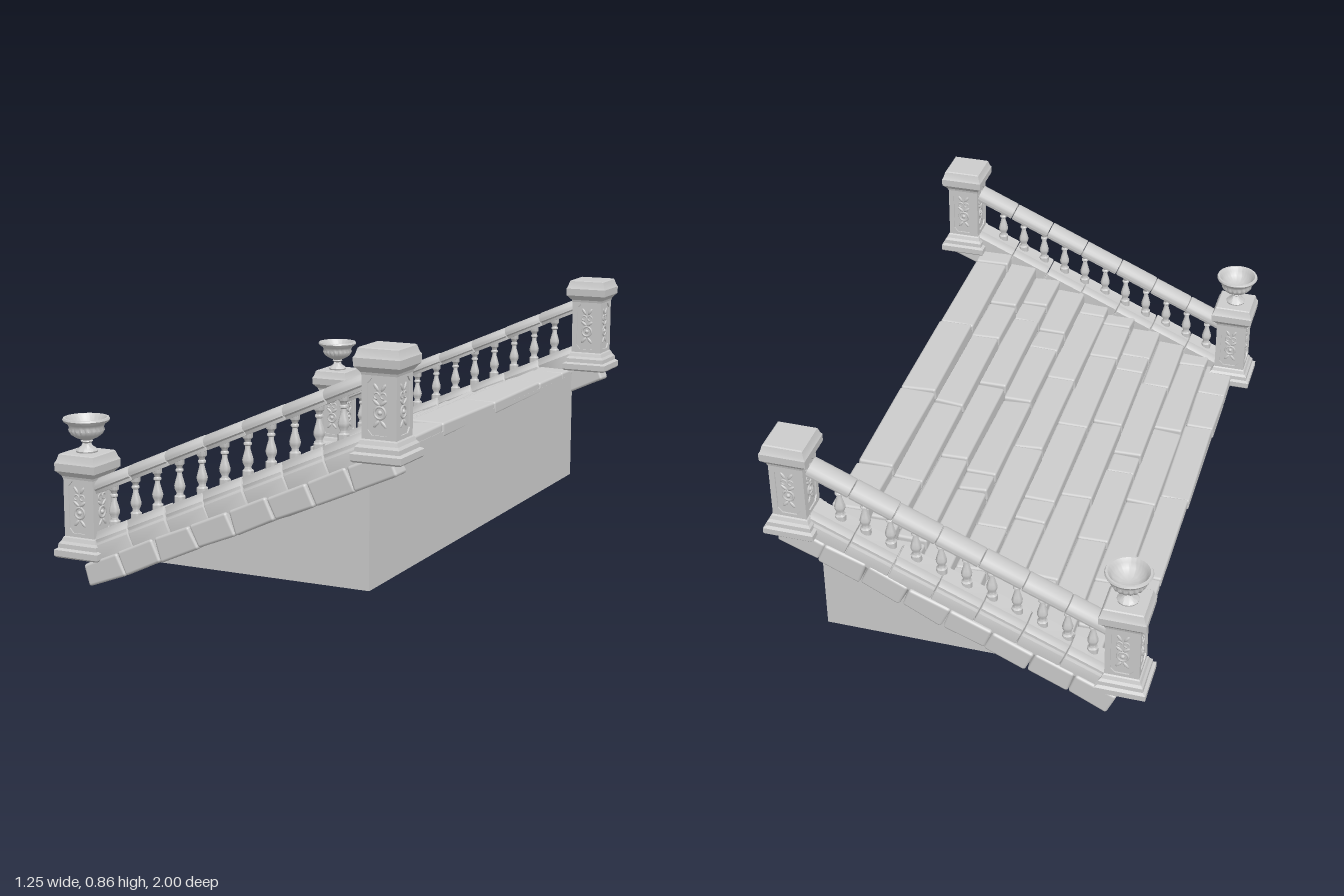
import * as THREE from 'three';
import { toCreasedNormals } from 'three/addons/utils/BufferGeometryUtils.js';
import { RoundedBoxGeometry } from 'three/addons/geometries/RoundedBoxGeometry.js';

const material = new THREE.MeshStandardMaterial({ color: 0xcccccc, roughness: 0.9 });
const SLOPE = Math.atan(0.435);
const SIDE_Z = 0.912;

// Seeded wear and tear
let seed = 7;
function jitter(amount) {
  seed = (seed * 16807) % 2147483647;
  return (seed / 2147483647 * 2 - 1) * amount;
}

function add(parent, name, geometry, x = 0, y = 0, z = 0) {
  const mesh = new THREE.Mesh(geometry, material);
  mesh.name = name;
  mesh.position.set(x, y, z);
  parent.add(mesh);
  return mesh;
}

const points = (list) => list.map(([x, y]) => new THREE.Vector2(x, y));

// Square turned profile: [half width, height]
function squareLathe(profile) {
  const g = new THREE.LatheGeometry(points(profile.map(([w, y]) => [w * Math.SQRT2, y])), 4);
  g.rotateY(Math.PI / 4);
  return toCreasedNormals(g, 0.3);
}

// Block with worn edges and slightly shifted corners
function wornBlock(w, h, d, wear) {
  const g = new RoundedBoxGeometry(w, h, d, 2, Math.min(0.009, h * 0.25));
  const p = g.attributes.position;
  const shift = Array.from({ length: 8 }, () => [jitter(wear), jitter(wear), jitter(wear)]);
  for (let i = 0; i < p.count; i++) {
    const k = (p.getX(i) > 0 ? 1 : 0) + (p.getY(i) > 0 ? 2 : 0) + (p.getZ(i) > 0 ? 4 : 0);
    p.setXYZ(i, p.getX(i) + shift[k][0], p.getY(i) + shift[k][1], p.getZ(i) + shift[k][2]);
  }
  return g;
}

// Stone with a constant section, running along x and centred on it
function runStone(section, length) {
  const b = 0.004;
  const g = new THREE.ExtrudeGeometry(new THREE.Shape(points(section)), {
    depth: length - 2 * b, bevelEnabled: true, bevelThickness: b, bevelSize: b, bevelOffset: -b, bevelSegments: 2,
  });
  g.translate(0, 0, b - length / 2);
  g.rotateY(Math.PI / 2);
  return toCreasedNormals(g, 0.7);
}

function createStairs() {
  const stairs = new THREE.Group();
  stairs.name = 'stairs';
  const edges = [-0.55, -0.45, -0.35, -0.25, -0.145, -0.04, 0.06, 0.16, 0.255, 0.355, 0.475];
  const joints = [
    [-0.78, -0.44, 0.01, 0.46, 0.69], [-0.78, -0.55, -0.1, 0.35, 0.8], [-0.4, 0, 0.11, 0.57],
    [-0.68, -0.23, 0.22, 0.57, 0.68], [-0.45, -0.33, 0.12, 0.58, 0.8], [-0.79, -0.56, -0.11, 0.34, 0.8],
    [-0.45, -0.35, 0.1, 0.45, 0.57], [-0.8, -0.34, 0.11, 0.56, 0.68], [-0.77, -0.55, -0.1, 0.35, 0.58],
    [-0.79, -0.55, -0.1, 0.345, 0.8],
  ];
  const treadY = (i) => 0.137 + 0.042 * i;

  // Solid core under the treads
  const outline = [[-0.535, 0.095], [0.475, 0.095]];
  for (let i = 9; i >= 0; i--) {
    const y = treadY(i) - 0.024;
    outline.push([edges[i + 1], y], [edges[i] + 0.015, y]);
  }
  const core = new THREE.ExtrudeGeometry(new THREE.Shape(points(outline)), { depth: 1.8, bevelEnabled: false });
  add(stairs, 'stairCore', core, 0, 0, -0.9);

  // Tread slabs
  joints.forEach((row, i) => {
    const cuts = [-0.9, ...row, 0.9];
    for (let k = 0; k < cuts.length - 1; k++) {
      const length = cuts[k + 1] - cuts[k];
      const slab = wornBlock(edges[i + 1] - edges[i] + 0.006, 0.046, length - 0.004, 0.003);
      add(stairs, 'treadSlab', slab, (edges[i] + edges[i + 1]) / 2 - 0.003, treadY(i) - 0.023 + jitter(0.004),
        (cuts[k] + cuts[k + 1]) / 2).rotation.x = jitter(0.012);
    }
  });
  return stairs;
}

// Raised panel frame with a carved scroll and leaves, facing +z
function createPanel() {
  const panel = new THREE.Group();
  panel.name = 'carvedPanel';
  const frame = new THREE.Shape(points([[-0.057, -0.1], [0.057, -0.1], [0.057, 0.1], [-0.057, 0.1]]));
  frame.holes.push(new THREE.Path(points([[-0.038, -0.07], [-0.038, 0.07], [-0.024, 0.086], [0.024, 0.086],
    [0.038, 0.07], [0.038, -0.07], [0.024, -0.086], [-0.024, -0.086]])));
  add(panel, 'panelFrame', new THREE.ExtrudeGeometry(frame, { depth: 0.006, bevelEnabled: false }), 0, 0, 0.051);
  add(panel, 'scrollRing', new THREE.TorusGeometry(0.018, 0.004, 6, 20), 0, -0.018, 0.052);
  add(panel, 'scrollBud', new THREE.SphereGeometry(0.008, 10, 6), 0, -0.018, 0.051);
  for (const s of [-1, 1]) {
    add(panel, 'upperCurl', new THREE.TorusGeometry(0.009, 0.003, 6, 14, 5), s * 0.011, 0.033, 0.052);
    for (const [y, tilt] of [[0.058, 0.6], [0.012, 0.9], [-0.052, -0.7]]) {
      const leaf = add(panel, 'leaf', new THREE.SphereGeometry(0.014, 10, 6), s * 0.012, y, 0.052);
      leaf.scale.set(0.4, 1, 0.3);
      leaf.rotation.z = -s * tilt;
    }
  }
  return panel;
}

function createPost(name, x, y, z) {
  const post = new THREE.Group();
  post.name = name;
  post.position.set(x, y, z);
  add(post, 'postBase', squareLathe([[0, 0], [0.078, 0], [0.084, 0.006], [0.084, 0.026], [0.074, 0.032], [0.073, 0.046],
    [0.066, 0.054], [0.061, 0.066], [0.057, 0.07], [0, 0.07]]));
  add(post, 'postShaft', new THREE.BoxGeometry(0.104, 0.21, 0.104), 0, 0.168, 0);
  for (let i = 0; i < 4; i++) {
    const panel = createPanel();
    panel.position.y = 0.168;
    panel.rotation.y = i * Math.PI / 2;
    post.add(panel);
  }
  add(post, 'postCap', squareLathe([[0, 0.262], [0.058, 0.262], [0.06, 0.27], [0.068, 0.28], [0.076, 0.288],
    [0.077, 0.314], [0.072, 0.322], [0.066, 0.342], [0.062, 0.345], [0, 0.345]]));
  return post;
}

// Footed urn with a lobed bowl
function createUrn() {
  const g = new THREE.LatheGeometry(points([[0, 0], [0.034, 0], [0.036, 0.006], [0.031, 0.012], [0.018, 0.021],
    [0.014, 0.031], [0.02, 0.037], [0.017, 0.041], [0.034, 0.049], [0.05, 0.06], [0.058, 0.074], [0.056, 0.084],
    [0.061, 0.094], [0.074, 0.103], [0.077, 0.109], [0.074, 0.115], [0.067, 0.115], [0.058, 0.103],
    [0.05, 0.086], [0.03, 0.073], [0, 0.069]]), 72);
  const p = g.attributes.position;
  for (let i = 0; i < p.count; i++) {
    const x = p.getX(i), y = p.getY(i), z = p.getZ(i);
    if (y < 0.045 || y > 0.08 || Math.hypot(x, z) < 0.0325) continue;
    const lobe = 0.93 + 0.1 * Math.abs(Math.sin(Math.atan2(z, x) * 9));
    p.setXYZ(i, x * lobe, y, z * lobe);
  }
  g.computeVertexNormals();
  return toCreasedNormals(g, 0.9);
}

function createBalustrade(side) {
  const group = new THREE.Group();
  group.name = side > 0 ? 'leftBalustrade' : 'rightBalustrade';
  group.position.z = side * SIDE_Z;

  const sloped = new THREE.Group();
  sloped.name = 'slopedCourses';
  sloped.rotation.z = SLOPE;
  group.add(sloped);

  // Lower course of rough blocks
  for (let i = 0; i < 8; i++) {
    add(sloped, 'lowerCourseStone', wornBlock(0.147, 0.078, 0.076, 0.004),
      -0.46 + 0.15 * (i + 0.5), 0.237, side * (0.022 + jitter(0.005)));
  }

  // Moulded kerb, split into stones
  const kerb = [[-0.044, 0.268], [0.05, 0.268], [0.05, 0.318], [0.044, 0.326], [0.044, 0.336], [0.034, 0.347],
    [0.03, 0.36], [-0.03, 0.36], [-0.034, 0.347], [-0.044, 0.336]];
  const kerbSection = side > 0 ? kerb.map(([z, y]) => [-z, y]).reverse() : kerb;
  for (let i = 0; i < 7; i++) {
    add(sloped, 'kerbStone', runStone(kerbSection, 0.152), -0.4 + 0.154 * (i + 0.5), jitter(0.002), jitter(0.002));
  }

  // Handrail with a rounded top
  const rail = [[-0.03, 0.476], [0.03, 0.476], [0.032, 0.486], [0.04, 0.491]];
  for (let i = 0; i <= 8; i++) {
    const a = i * Math.PI / 8;
    rail.push([0.04 * Math.cos(a), 0.498 + 0.025 * Math.sin(a)]);
  }
  rail.push([-0.04, 0.491], [-0.032, 0.486]);
  for (let i = 0; i < 7; i++) {
    add(sloped, 'handrailStone', runStone(rail, 0.151), -0.325 + 0.153 * (i + 0.5), jitter(0.0015), jitter(0.002));
  }

  // Upright turned balusters
  const baluster = new THREE.LatheGeometry(points([[0.018, -0.015], [0.018, 0.018], [0.012, 0.023], [0.011, 0.03],
    [0.017, 0.043], [0.018, 0.052], [0.014, 0.067], [0.009, 0.085], [0.008, 0.096], [0.013, 0.1], [0.013, 0.105],
    [0.009, 0.109], [0.011, 0.117], [0.016, 0.122], [0.016, 0.15]]), 16);
  const turned = toCreasedNormals(baluster, 0.8);
  for (let i = 0; i < 11; i++) {
    const x = -0.435 + 0.083 * i;
    add(group, 'baluster', turned, x, 0.389 + 0.435 * x, 0);
  }
  return group;
}

export function createModel() {
  const model = new THREE.Group();
  model.name = 'stairway';
  model.add(createStairs());
  for (const side of [1, -1]) {
    model.add(createBalustrade(side));
    const lower = createPost('lowerPost', -0.542, 0.09, side * (SIDE_Z - 0.01));
    add(lower, 'urn', createUrn(), 0, 0.344, 0);
    model.add(lower, createPost('upperPost', 0.542, 0.515, side * (SIDE_Z + 0.004)));
  }
  return model;
}
